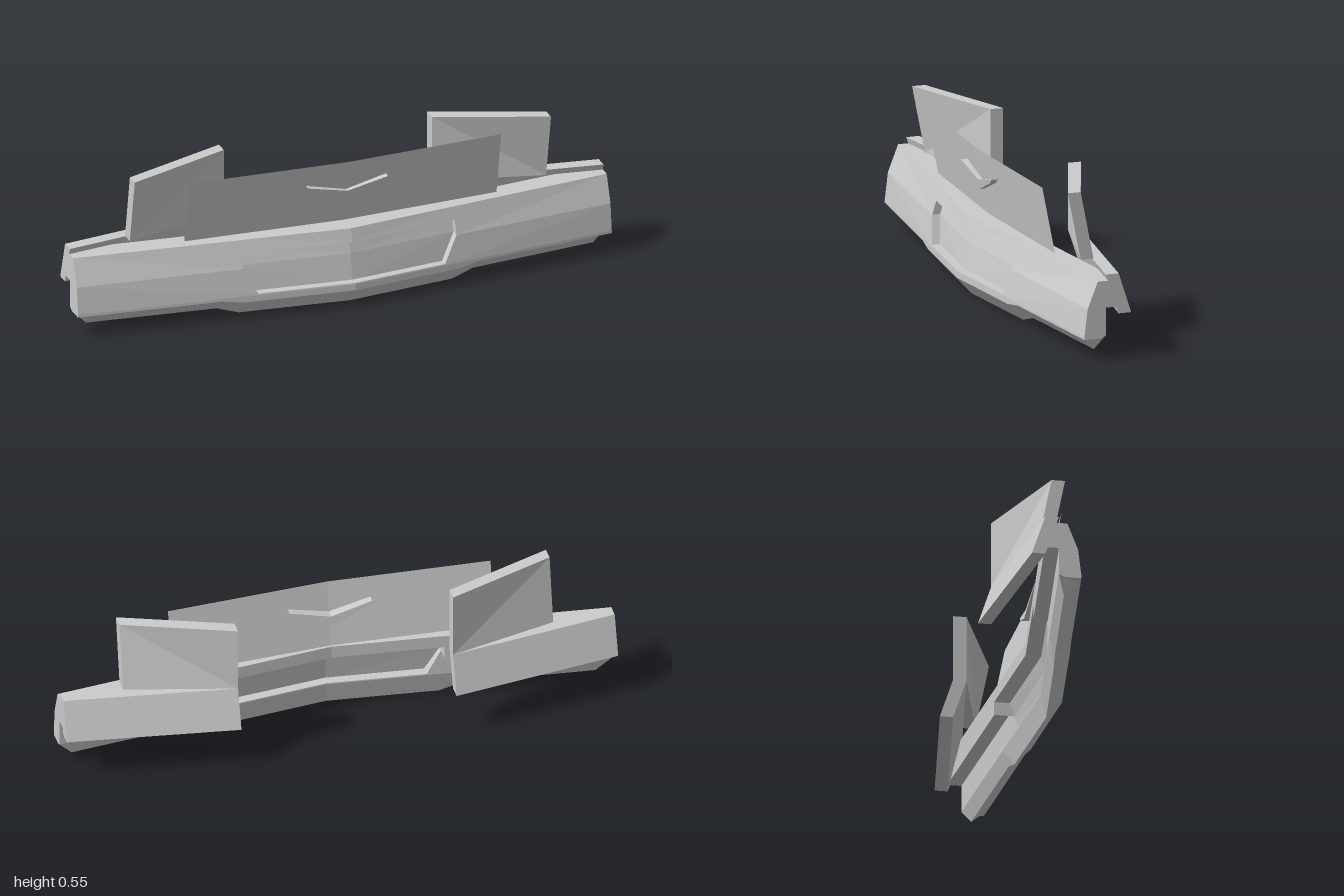
import * as THREE from 'three';

const lerp = (a, b, t) => a + (b - a) * t;

// Front skin: swept back from the centre (x = 0) to the end (x = 1)
function front(x, y) {
  const t = Math.abs(x);
  const top = lerp(0.14, 0.03, t), mid = lerp(0.166, 0.068, t), low = lerp(0.184, 0.08, t);
  return y > 0.185 ? lerp(mid, top, (y - 0.185) / 0.097) : lerp(low, mid, (y - 0.085) / 0.1);
}
const lowerBack = (x) => lerp(0.107, 0, Math.abs(x));
const flangeBack = (x) => lerp(0.055, -0.05, Math.abs(x));

// Outline in x,y given depth between two z rules
function slabFromOutline(points, zBack, zFront) {
  const shape = new THREE.Shape(points.map(([x, y]) => new THREE.Vector2(x, y)));
  const geo = new THREE.ExtrudeGeometry(shape, { depth: 1, bevelEnabled: false });
  const p = geo.attributes.position;
  for (let i = 0; i < p.count; i++) {
    const x = p.getX(i), y = p.getY(i);
    p.setZ(i, p.getZ(i) > 0.5 ? zFront(x, y) : zBack(x, y));
  }
  geo.computeVertexNormals();
  return geo;
}

// Skin over sections { x, ring: [[z, y], ...] }, x rising, ring running
// front-top, front-bottom, back-bottom, back-top
function loft(sections) {
  const out = [];
  const at = (s, j) => {
    const [z, y] = s.ring[j % s.ring.length];
    return [s.x, y, z];
  };
  const n = sections[0].ring.length;
  for (let i = 0; i < sections.length - 1; i++) {
    const a = sections[i], b = sections[i + 1];
    for (let j = 0; j < n; j++) {
      out.push(...at(a, j), ...at(a, j + 1), ...at(b, j + 1));
      out.push(...at(a, j), ...at(b, j + 1), ...at(b, j));
    }
  }
  const first = sections[0], last = sections[sections.length - 1];
  for (let j = 1; j < n - 1; j++) {
    out.push(...at(first, 0), ...at(first, j + 1), ...at(first, j));
    out.push(...at(last, 0), ...at(last, j), ...at(last, j + 1));
  }
  const geo = new THREE.BufferGeometry();
  geo.setAttribute('position', new THREE.Float32BufferAttribute(out, 3));
  geo.computeVertexNormals();
  return geo;
}

// Mirror across x = 0, swapping two corners of each triangle
function mirrored(geo) {
  const src = geo.attributes.position, out = [];
  for (let i = 0; i < src.count; i += 3) {
    for (const k of [i, i + 2, i + 1]) out.push(-src.getX(k), src.getY(k), src.getZ(k));
  }
  const m = new THREE.BufferGeometry();
  m.setAttribute('position', new THREE.Float32BufferAttribute(out, 3));
  m.computeVertexNormals();
  return m;
}

export function createModel() {
  const model = new THREE.Group();
  const material = new THREE.MeshStandardMaterial({ color: 0xcccccc, flatShading: true, side: THREE.DoubleSide });
  const addPair = (name, geo) => {
    for (const [side, g] of [['left', geo], ['right', mirrored(geo)]]) {
      const mesh = new THREE.Mesh(g, material);
      mesh.name = side + name;
      model.add(mesh);
    }
  };

  // Bumper beam, cut through at the centre for the plate recess
  addPair('TopRailCentre', slabFromOutline([[0, 0.235], [0.4, 0.235], [0.4, 0.282], [0, 0.282]], flangeBack, front));
  addPair('TopRailOuter', slabFromOutline([[0.4, 0.185], [1, 0.185], [1, 0.282], [0.4, 0.282]], flangeBack, front));
  addPair('LowerFace', slabFromOutline(
    [[0.35, 0.085], [1, 0.085], [1, 0.185], [0.4, 0.185], [0.35, 0.09]], lowerBack, front));
  addPair('RecessSill', slabFromOutline([[0, 0.085], [0.35, 0.085], [0.35, 0.09], [0, 0.09]], lowerBack, front));

  // Recessed plate, folded at the same height as the front skin
  const plateFront = (x, y) => front(x, y) - 0.03, plateBack = (x, y) => front(x, y) - 0.042;
  addPair('RecessPlateUpper', slabFromOutline([[0, 0.185], [0.4, 0.185], [0.4, 0.235], [0, 0.235]], plateBack, plateFront));
  addPair('RecessPlateLower', slabFromOutline([[0, 0.085], [0.35, 0.085], [0.4, 0.185], [0, 0.185]], plateBack, plateFront));

  // Chin: V-shaped underside, deeper in the middle, chamfered at the ends
  const chin = [[0, 0.062, 0], [0.4, 0.062, 0], [0.48, 0.075, 0.025], [0.95, 0.075, 0.025], [1, 0.075, 0.075]];
  addPair('Chin', loft(chin.map(([x, yLip, yBottom]) => {
    const f = front(x, 0.085), b = lowerBack(x);
    return { x, ring: [[f, 0.085], [f, yLip], [b + 0.021, yBottom], [b, 0.085]] };
  })));

  // Rear brackets: leaning bars angled backward toward the middle
  const bracket = (x, dz) => ({
    x, ring: [[dz, 0.305], [dz - 0.048, 0.16], [dz - 0.095, 0.16], [dz - 0.048, 0.305]],
  });
  addPair('Bracket', loft([bracket(0.39, -0.087), bracket(1, 0)]));

  // Fins on the brackets: upright inside, leaning forward outside
  addPair('Fin', loft([
    { x: 0.39, ring: [[-0.087, 0.55], [-0.087, 0.305], [-0.135, 0.305], [-0.135, 0.55]] },
    { x: 0.78, ring: [[0.06, 0.55], [0.012, 0.305], [-0.036, 0.305], [0.012, 0.55]] },
  ]));

  // Thin upper panel with a centre fold
  const panel = new THREE.PlaneGeometry(1.17, 0.243, 2, 1);
  const p = panel.attributes.position;
  for (let i = 0; i < p.count; i++) {
    const y = p.getY(i) + 0.1215;
    p.setY(i, y + 0.281);
    p.setZ(i, 0.063 - 0.048 * Math.abs(p.getX(i)) + y * 0.196);
  }
  panel.computeVertexNormals();
  const panelMesh = new THREE.Mesh(panel, material);
  panelMesh.name = 'upperPanel';
  model.add(panelMesh);

  // Chevron trim passing through the upper panel
  addPair('Chevron', slabFromOutline(
    [[0, 0.375], [0.14, 0.433], [0.15, 0.447], [0, 0.411]],
    (x, y) => 0.06 + (y - 0.44) * 0.16,
    (x, y) => 0.11 + (y - 0.435) * 0.2));

  return model;
}
